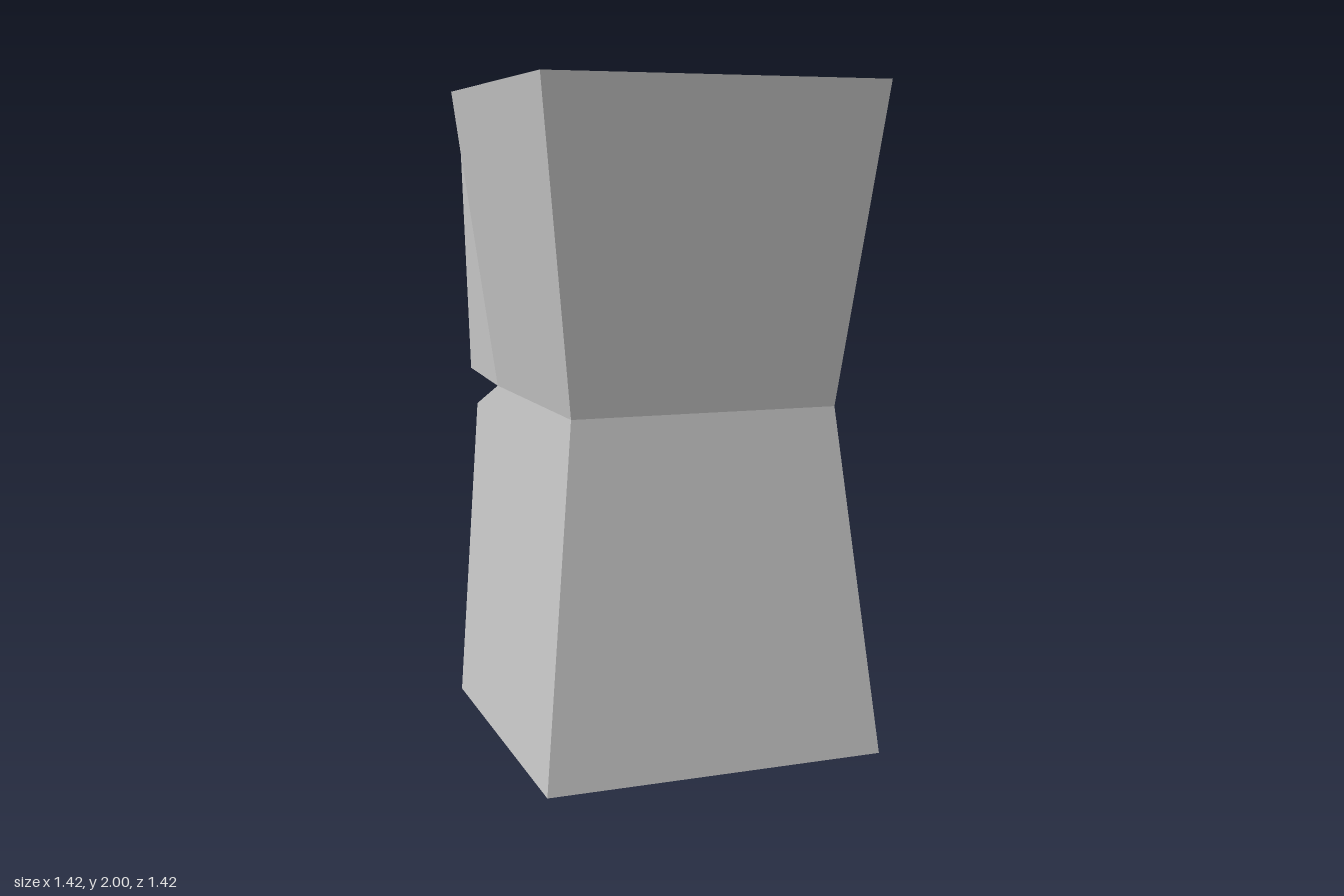
import * as THREE from 'three';

const grey = new THREE.MeshStandardMaterial({ color: 0xcccccc, flatShading: true, side: THREE.DoubleSide });
const HALF = 0.521, WAIST = 0.409, WAIST_Y = 1.05, FACE_Z = 0.518;

// Flat-shaded mesh from a list of polygons, each cut into a fan
function polyMesh(name, polys) {
  const pos = [];
  for (const p of polys)
    for (let i = 1; i < p.length - 1; i++) pos.push(...p[0], ...p[i], ...p[i + 1]);
  const g = new THREE.BufferGeometry();
  g.setAttribute('position', new THREE.Float32BufferAttribute(pos, 3));
  g.computeVertexNormals();
  const m = new THREE.Mesh(g, grey);
  m.name = name;
  return m;
}

const mid = (a, b) => a.map((v, i) => (v + b[i]) / 2);

// Octagon running counterclockwise from the lower end of the +x edge
function octagon({ w, c, y }, z) {
  return [[w, y[1]], [w, y[2]], [c, y[3]], [-c, y[3]], [-w, y[2]], [-w, y[1]], [-c, y[0]], [c, y[0]]]
    .map(([px, py]) => [px, py, z]);
}

// Raised panel: four corners, one bent side edge, octagonal opening, skirt back to the waist
function panel(name, o) {
  const polys = [], C = o.corners, oct = octagon(o, FACE_Z);
  const M = C.map((c, k) => mid(c, C[(k + 1) % 4]));
  M[o.bendSide] = o.bend;
  for (let k = 0; k < 4; k++) {
    const n = (k + 1) % 4, a = oct[2 * k], b = oct[2 * k + 1];
    polys.push([C[k], M[k], a], [M[k], b, a], [M[k], C[n], b], [b, C[n], oct[(2 * k + 2) % 8]]);
  }
  const wr = [WAIST, WAIST_Y, WAIST], wl = [-WAIST, WAIST_Y, WAIST];
  polys.push([C[1], M[0], wr], [M[0], C[0], wr], [C[3], M[2], wl], [M[2], C[2], wl]);
  polys.push(o.upper ? [C[0], C[3], wl, wr] : [C[2], C[1], wr, wl]);
  return polyMesh(name, polys);
}

// Octagonal rim with a sloping dish down to a rectangular floor
function dish(name, o) {
  const polys = [], ring = octagon(o, o.rimZ), base = octagon(o, o.floorZ);
  const { c, y } = o;
  const T = [[c, y[1]], [c, y[2]], [-c, y[2]], [-c, y[1]]].map(([px, py]) => [px, py, o.floorZ]);
  // points where neighbouring slopes meet the cut corners
  const m = T.map((t, k) => {
    const p = mid(ring[(2 * k + 7) % 8], ring[2 * k]);
    p[2] = (o.rimZ + o.floorZ) / 2;
    return p;
  });
  polys.push(T);
  for (let k = 0; k < 4; k++) {
    const n = (k + 1) % 4;
    polys.push([T[k], m[k], ring[2 * k], ring[2 * k + 1], m[n], T[n]]);
  }
  for (let i = 0; i < 8; i++) {
    const j = (i + 1) % 8;
    polys.push([base[i], base[j], ring[j], ring[i]]);
  }
  return polyMesh(name, polys);
}

export function createModel() {
  const group = new THREE.Group();
  group.name = 'waistedBlock';

  // Square body pinched at the waist
  const r = HALF * Math.SQRT2, w = WAIST * Math.SQRT2;
  const profile = [[0, 0], [r, 0], [w, WAIST_Y], [r, 2], [0, 2]].map(p => new THREE.Vector2(...p));
  const body = new THREE.Mesh(new THREE.LatheGeometry(profile, 4, Math.PI / 4), grey);
  body.name = 'body';
  group.add(body);

  // Two panels with dishes on one face
  const lower = {
    w: 0.345, c: 0.18, y: [0.19, 0.35, 0.705, 0.86], rimZ: 0.56, floorZ: 0.385,
    corners: [[HALF, 0, HALF], [0.451, 0.98, 0.52], [-0.451, 0.98, 0.52], [-HALF, 0, HALF]],
    bendSide: 2, bend: [-0.478, 0.4, 0.478],
  };
  const upper = {
    upper: true, w: 0.355, c: 0.19, y: [1.22, 1.38, 1.67, 1.83], rimZ: 0.618, floorZ: 0.445,
    corners: [[0.472, 1.1, 0.514], [HALF, 2, HALF], [-HALF, 2, HALF], [-0.472, 1.1, 0.514]],
    bendSide: 0, bend: [0.498, 1.8, 0.498],
  };
  group.add(panel('lowerPanel', lower), dish('lowerDish', lower));
  group.add(panel('upperPanel', upper), dish('upperDish', upper));

  // Turn the panelled face to the back
  group.rotation.y = THREE.MathUtils.degToRad(150);
  return group;
}
